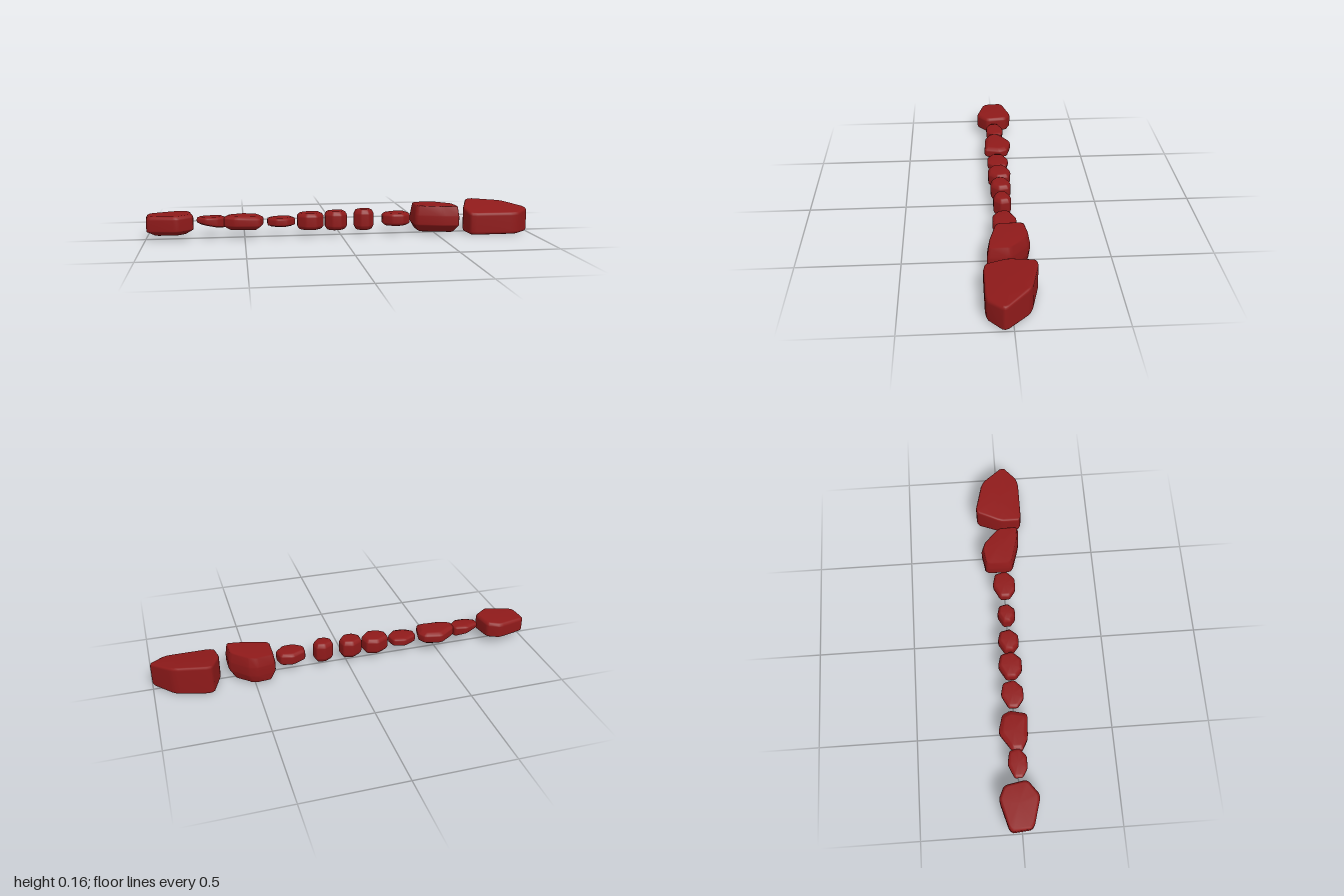
import * as THREE from 'three';

const material = new THREE.MeshStandardMaterial({ color: 0x8f1a1a });

// Cut every corner of the outline so the stone edges look worn
function softenOutline(points, cut = 0.14) {
  const out = [];
  points.forEach((p, i) => {
    const prev = points[(i + points.length - 1) % points.length];
    const next = points[(i + 1) % points.length];
    const mix = (q, t) => [p[0] + (q[0] - p[0]) * t, p[1] + (q[1] - p[1]) * t];
    const a = mix(prev, cut), b = mix(next, cut);
    out.push(a, [(a[0] + b[0] + p[0]) / 3, (a[1] + b[1] + p[1]) / 3], b);
  });
  return out;
}

// Loft a stone from inset copies of its plan outline.
// top / bottom = [inset, height] of the chamfers; the slopes tilt the end faces.
function addStone(group, name, { outline, y, top, bottom, topSlope = [0, 0], bottomSlope = [0, 0], bottomShift = 0 }) {
  const pts = softenOutline(outline);
  const n = pts.length;
  const cx = pts.reduce((s, p) => s + p[0], 0) / n;
  const cz = pts.reduce((s, p) => s + p[1], 0) / n;
  const rim = 0.008;

  // Half-profile from one end face to the side: [inset, distance from the end]
  const profile = ([inset, height]) =>
    [[inset + rim, 0], [inset, 0.004], [0.002, height - 0.003], [0, height + 0.004]];
  const rings = [
    ...profile(bottom).map(([inset, d], i) =>
      ({ inset, y: y[0] + d, slope: bottomSlope, shift: i < 2 ? bottomShift : 0 })),
    ...profile(top).reverse().map(([inset, d]) => ({ inset, y: y[1] - d, slope: topSlope, shift: 0 })),
  ];

  const pos = [], index = [];
  const addPoint = (x, z, { y: height, slope, shift }) =>
    pos.push(x, height + slope[0] * (x - cx) + slope[1] * (z - cz), z + shift);
  for (const ring of rings) {
    for (const [x, z] of pts) {
      const k = 1 - Math.min(0.8, ring.inset / Math.hypot(x - cx, z - cz));
      addPoint(cx + (x - cx) * k, cz + (z - cz) * k, ring);
    }
  }
  // Sides and end faces
  const last = (rings.length - 1) * n, low = rings.length * n, high = low + 1;
  addPoint(cx, cz, rings[0]);
  addPoint(cx, cz, rings[rings.length - 1]);
  for (let i = 0; i < n; i++) {
    const j = (i + 1) % n;
    for (let r = 0; r < last; r += n) index.push(r + i, r + n + i, r + n + j, r + i, r + n + j, r + j);
    index.push(low, i, j, high, last + j, last + i);
  }
  const geometry = new THREE.BufferGeometry();
  geometry.setAttribute('position', new THREE.Float32BufferAttribute(pos, 3));
  geometry.setIndex(index);
  geometry.computeVertexNormals();
  const mesh = new THREE.Mesh(geometry, material);
  mesh.name = name;
  group.add(mesh);
}

// Small stones share one seven-cornered outline, scaled to each stone's size
const pebbleOutline = [[-1, -0.4], [-0.05, -1], [0.8, -0.75], [1, 0.2], [0.4, 0.95], [-0.4, 0.95], [-1, 0.4]];

function addPebble(group, name, x, width, depth, y0, y1, bottomTilt = 0) {
  const chamfer = [0.01, (y1 - y0) * 0.2];
  addStone(group, name, {
    outline: pebbleOutline.map(([u, v]) => [x + u * width / 2, v * depth / 2]),
    y: [y0, y1], top: chamfer, bottom: chamfer, bottomSlope: [bottomTilt, 0],
  });
}

export function createModel() {
  const group = new THREE.Group();
  group.name = 'stoneRow';

  // Large stones, from -x to +x
  addStone(group, 'rightEndStone', {
    outline: [[-1, -0.06], [-0.84, -0.105], [-0.775, -0.075], [-0.755, 0.04], [-0.835, 0.1], [-0.99, 0.055]],
    y: [0.032, 0.134], top: [0.008, 0.015], bottom: [0.035, 0.025], topSlope: [0.03, 0], bottomSlope: [0.02, 0],
  });
  addStone(group, 'flatStone', {
    outline: [[-0.605, -0.02], [-0.51, -0.085], [-0.42, -0.06], [-0.4, -0.02], [-0.42, 0.068], [-0.55, 0.06], [-0.605, 0.03]],
    y: [0.048, 0.12], top: [0.018, 0.015], bottom: [0.025, 0.022], topSlope: [-0.03, 0],
  });
  addStone(group, 'undercutStone', {
    outline: [[0.39, -0.09], [0.49, -0.11], [0.53, -0.097], [0.618, -0.01], [0.618, 0.1], [0.53, 0.093], [0.388, 0.05]],
    y: [0.012, 0.155], top: [0.01, 0.05], bottom: [0.028, 0.042], bottomShift: -0.02,
  });
  addStone(group, 'leftEndStone', {
    outline: [[0.658, 0.01], [0.712, -0.13], [0.9, -0.083], [1.008, 0.04], [0.925, 0.12], [0.67, 0.12]],
    y: [0.005, 0.14], top: [0.005, 0.012], bottom: [0.006, 0.012], topSlope: [0, -0.19],
  });

  // Small stones: x, width, depth, bottom, top
  addPebble(group, 'wedgePebble', -0.667, 0.15, 0.1, 0.07, 0.118, -0.2);
  addPebble(group, 'thinPebble', -0.31, 0.145, 0.118, 0.06, 0.106);
  addPebble(group, 'widePebble', -0.158, 0.14, 0.125, 0.04, 0.126);
  addPebble(group, 'roundPebble', -0.024, 0.118, 0.11, 0.034, 0.132);
  addPebble(group, 'tallPebble', 0.124, 0.105, 0.095, 0.03, 0.138);
  addPebble(group, 'lowPebble', 0.297, 0.15, 0.122, 0.05, 0.117);
  return group;
}
